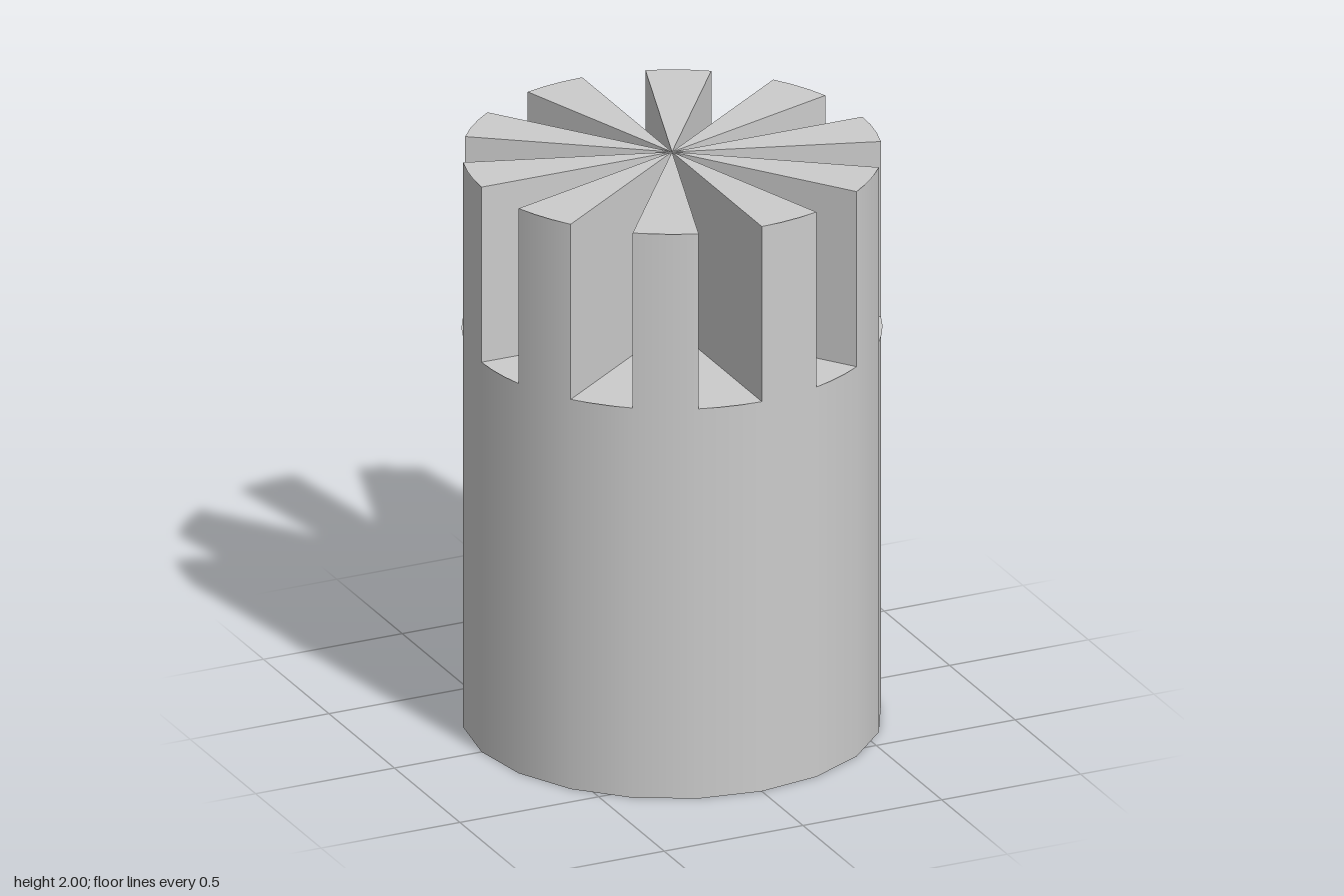
import * as THREE from 'three';
import { mergeGeometries } from 'three/addons/utils/BufferGeometryUtils.js';

const SIDES = 20, RADIUS = 0.686, HEIGHT = 2, SLOT_Y = 1.38;
const STEP = (Math.PI * 2) / SIDES;
const TOOTH_H = HEIGHT - SLOT_Y;

// Upward-facing triangular sector; angle measured from +z towards +x
function sector(angle, y) {
  return new THREE.CircleGeometry(RADIUS, 1, angle - Math.PI / 2, STEP)
    .rotateX(-Math.PI / 2).translate(0, y, 0);
}

// Upright wall from the axis to the rim; side -1 faces lower angles, +1 higher
function wall(angle, side) {
  return new THREE.PlaneGeometry(RADIUS, TOOTH_H)
    .translate(-side * RADIUS / 2, SLOT_Y + TOOTH_H / 2, 0)
    .rotateY(angle + side * Math.PI / 2);
}

export function createModel() {
  const group = new THREE.Group();
  const material = new THREE.MeshStandardMaterial({ color: 0xcccccc });
  const add = (name, ...parts) => {
    const mesh = new THREE.Mesh(mergeGeometries(parts), material);
    mesh.name = name;
    group.add(mesh);
  };

  // Smooth lower drum with its base
  add('body',
    new THREE.CylinderGeometry(RADIUS, RADIUS, SLOT_Y, SIDES, 1, true).translate(0, SLOT_Y / 2, 0),
    new THREE.CircleGeometry(RADIUS, SIDES).rotateX(Math.PI / 2));

  // Alternating wedge teeth and slot floors, all meeting on the axis
  for (let i = 0; i < SIDES; i += 2) {
    const a = i * STEP;
    add('tooth' + (i / 2 + 1),
      new THREE.CylinderGeometry(RADIUS, RADIUS, TOOTH_H, 1, 1, true, a, STEP)
        .translate(0, SLOT_Y + TOOTH_H / 2, 0),
      sector(a, HEIGHT),
      wall(a, -1),
      wall(a + STEP, 1));
    add('slotFloor' + (i / 2 + 1), sector(a + STEP, SLOT_Y));
  }
  return group;
}
